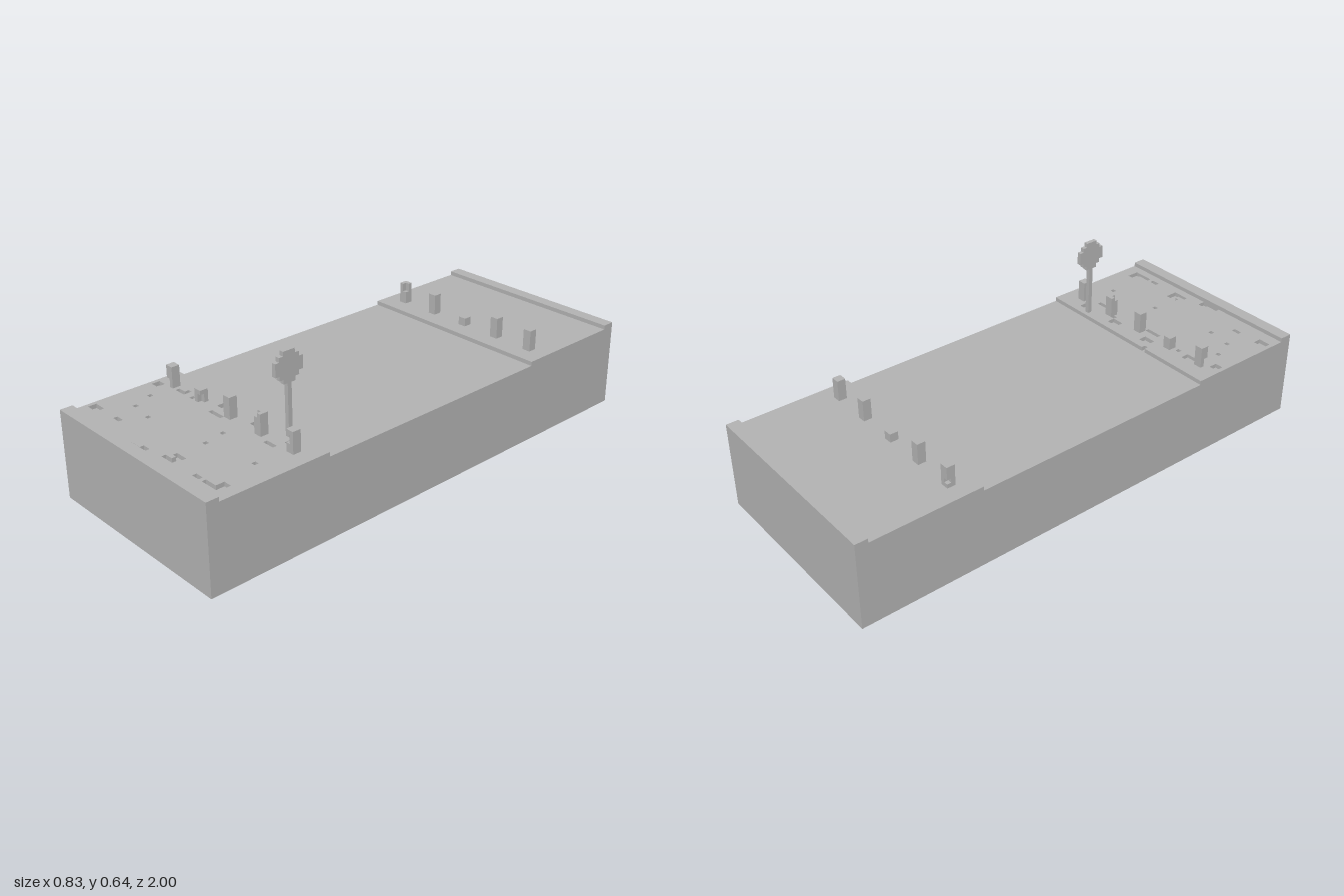
import * as THREE from 'three';
import { mergeGeometries } from 'three/addons/utils/BufferGeometryUtils.js';

// Everything is laid out on a block grid: i counts from the left edge,
// j from the front edge, y upwards. One block is 2 / 121 units.
const W = 50, L = 121, UNIT = 2 / L;

export function createModel() {
  const concrete = new THREE.MeshStandardMaterial({ color: 0xb2b2b2 });
  concrete.name = 'concrete grey';

  const model = new THREE.Group();
  model.name = 'streetTile';
  const grid = new THREE.Group();
  grid.name = 'blocks';
  grid.scale.setScalar(UNIT);
  model.add(grid);

  const block = (i0, i1, y0, y1, j0, j1) =>
    new THREE.BoxGeometry(i1 - i0, y1 - y0, j1 - j0)
      .translate((i0 + i1) / 2 - W / 2, (y0 + y1) / 2, L / 2 - (j0 + j1) / 2);
  const add = (name, geometry) => {
    const mesh = new THREE.Mesh(geometry, concrete);
    mesh.name = name;
    grid.add(mesh);
  };

  // Ground with the road surface, kerbs, and the intact rear pavement
  add('roadBase', block(0, W, 0, 19, 0, L));
  add('frontKerb', block(0, W, 19, 21, 0, 3));
  add('rearKerb', block(0, W, 19, 21, L - 3, L));
  add('rearPavement', block(0, W, 19, 20, L - 30, L - 3));

  // Front pavement: a slab with shallow broken-out pits and a chipped edge
  const path = (Type, pts) => new Type(pts.map(([i, j]) => new THREE.Vector2(i, j)));
  const rect = (i, j, w = 1, h = 1) => [[i, j], [i + w, j], [i + w, j + h], [i, j + h]];
  const slab = path(THREE.Shape, [
    [0, 3], [20, 3], [20, 4], [23, 4], [23, 5], [25, 5], [25, 3],
    [W, 3], [W, 30], [19, 30], [19, 29], [18, 29], [18, 30], [0, 30],
  ]);
  const pits = [
    rect(1, 22, 2, 2), rect(12, 24), rect(19, 26, 3, 2), rect(20, 23, 4, 1),
    rect(30, 26, 3, 2), rect(33, 25), rect(38, 23, 3, 1), rect(41, 26, 2, 2),
    rect(5, 18), rect(7, 13), rect(13, 12), rect(29, 19), rect(30, 14), rect(43, 16),
    rect(1, 6, 3, 2), rect(9, 7, 2, 1), rect(39, 5, 2, 1),
    [[7, 24], [10, 24], [10, 26], [9, 26], [9, 25], [7, 25]],
    [[29, 5], [33, 5], [33, 8], [30, 8], [30, 7], [31, 7], [31, 6], [29, 6]],
    [[42, 5], [47, 5], [47, 8], [45, 8], [45, 6], [42, 6]],
  ];
  slab.holes = pits.map((p) => path(THREE.Path, p));
  add('frontPavement', new THREE.ExtrudeGeometry(slab, { depth: 1, bevelEnabled: false })
    .rotateX(-Math.PI / 2).translate(-W / 2, 19, L / 2));

  // Bollards: two blocks square; chips list missing blocks as [right, back, level]
  function bollard(name, centre, j, height = 5, chips = []) {
    const i = centre - 1;
    if (!chips.length) return add(name, block(i, i + 2, 20, 20 + height, j, j + 2));
    const cells = [];
    for (let a = 0; a < 2; a++) for (let b = 0; b < 2; b++) for (let y = 0; y < height; y++) {
      if (chips.some((c) => c[0] === a && c[1] === b && c[2] === y)) continue;
      cells.push(block(i + a, i + a + 1, 20 + y, 21 + y, j + b, j + b + 1));
    }
    add(name, mergeGeometries(cells));
  }
  const front = [
    [5, [[0, 0, 0], [0, 0, 1]]], [3, [[1, 0, 0], [1, 0, 1]]], [5, []],
    [5, [[0, 0, 4]]], [5, [[0, 0, 2], [0, 0, 3]]],
  ];
  const rear = [[5, [[1, 0, 4], [1, 0, 3], [0, 1, 1]]], [5, []], [2, []], [5, []], [5, []]];
  front.forEach(([h, chips], n) => bollard('frontBollard' + (n + 1), 5 + 10 * n, 24, h, chips));
  rear.forEach(([h, chips], n) => bollard('rearBollard' + (n + 1), 5 + 10 * n, L - 26, h, chips));

  // Road sign facing along x: a thin pole and a stepped octagonal plate
  add('signPole', block(39, 40, 20, 32, 28, 29));
  const plate = [[3, 32, 33], [5, 33, 34], [7, 34, 37], [5, 37, 38], [3, 38, 39]]
    .map(([w, y0, y1]) => block(39, 40, y0, y1, 28.5 - w / 2, 28.5 + w / 2));
  add('signPlate', mergeGeometries(plate));

  return model;
}
